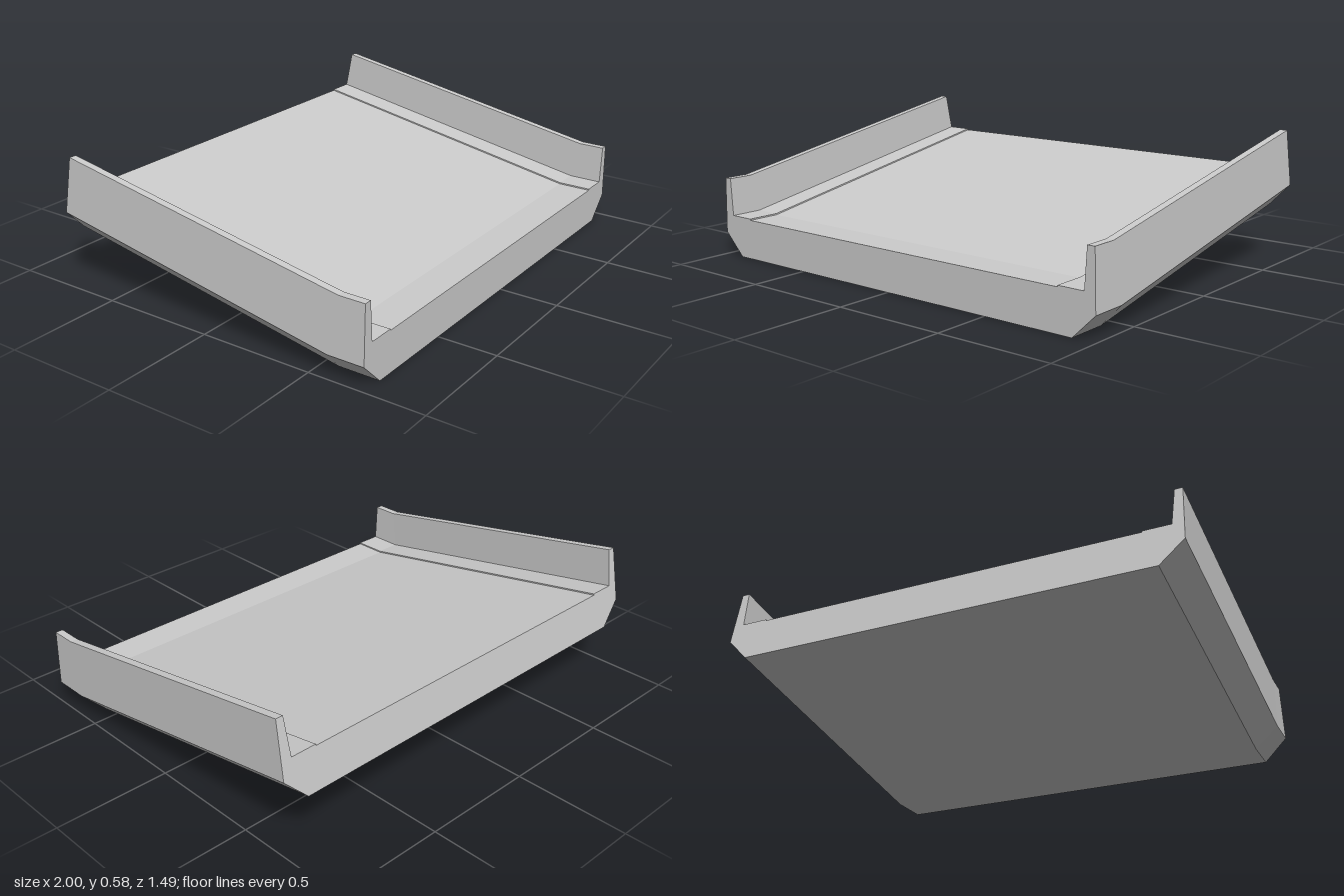
import * as THREE from 'three';

// Right half of the cross-section: x, height
const half = [
  [0.9, 0], [1, 0.1], [0.993, 0.345], [0.96, 0.345],
  [0.95, 0.18], [0.835, 0.18], [0.835, 0.174],
];

// Stations along the tray, back to front: z and y at the base, and their change per unit height
const stations = [
  { z: -0.745, dz: 0.168, y: 0.235, dy: 0.994 }, // raised back end, square to the slope
  { z: 0.565, dz: 0.19, y: 0, dy: 1 }, // bend
  { z: 0.745, dz: 0, y: 0, dy: 1 }, // upright front end
];

export function createModel() {
  const group = new THREE.Group();
  group.name = 'slopedTray';

  // Mirrored channel profile: floor, side steps, walls and chamfered underside
  const mirrored = half.map(([x, h]) => [-x, h]).reverse();
  const shape = new THREE.Shape([...half, ...mirrored].map(([x, h]) => new THREE.Vector2(x, h)));

  // Sweep the profile through the three stations
  const geometry = new THREE.ExtrudeGeometry(shape, { depth: 2, steps: 2, bevelEnabled: false });
  const p = geometry.attributes.position;
  for (let i = 0; i < p.count; i++) {
    const h = p.getY(i);
    const s = stations[Math.round(p.getZ(i))];
    p.setY(i, s.y + s.dy * h);
    p.setZ(i, s.z + s.dz * h);
  }
  geometry.computeVertexNormals();

  const tray = new THREE.Mesh(
    geometry,
    new THREE.MeshStandardMaterial({ color: 0xcccccc, flatShading: true })
  );
  tray.name = 'trayBody';
  group.add(tray);
  return group;
}
